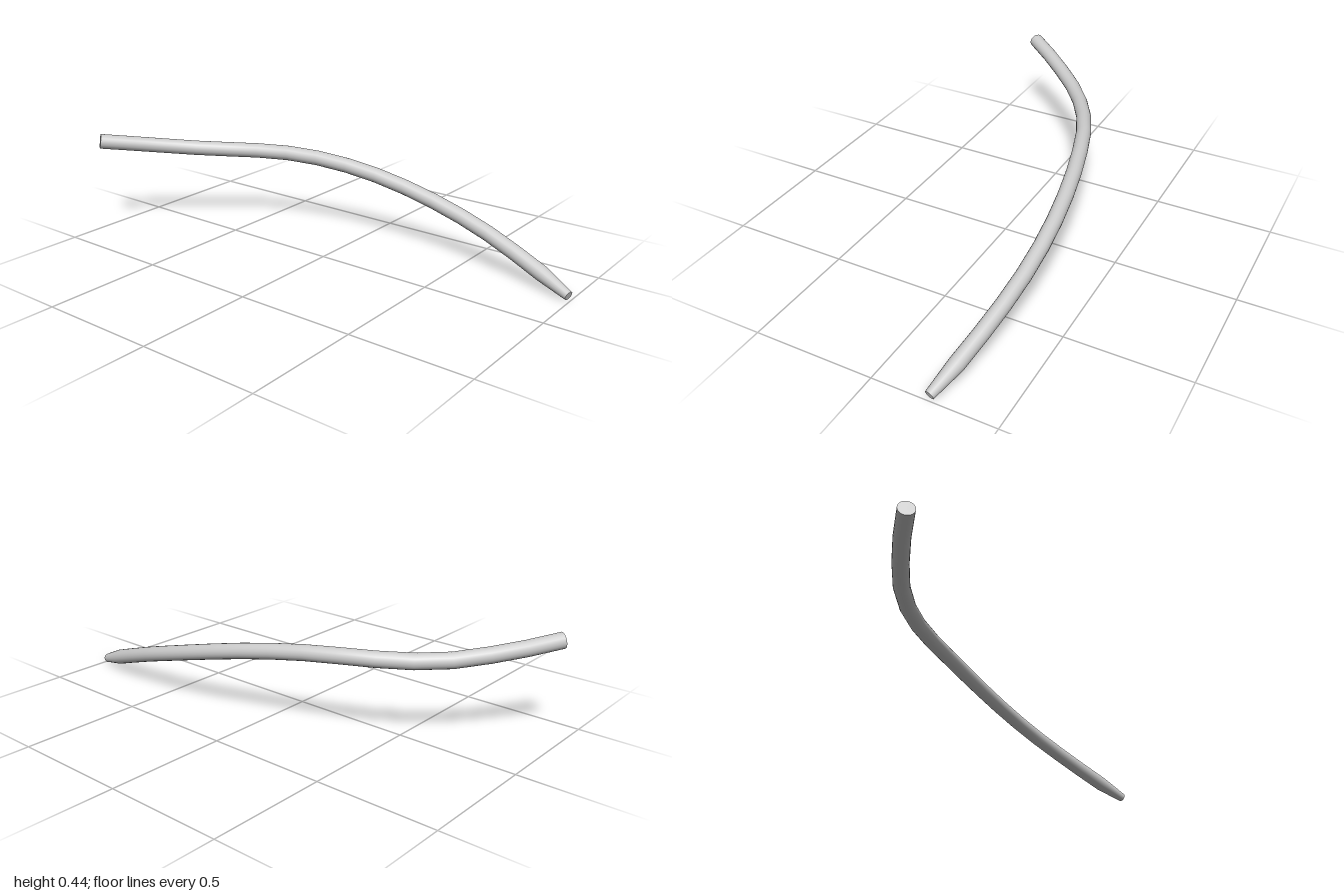
import * as THREE from 'three';

const SEGMENTS = 16, SIDES = 20, RADIUS = 0.032, TIP_RADIUS = 0.0195;

// Flat disc closing one ring of the tube
function capGeometry(tube, ring, centre, flip) {
  const pos = tube.attributes.position;
  const points = [centre.x, centre.y, centre.z];
  const index = [];
  for (let j = 0; j < SIDES; j++) {
    const i = ring * (SIDES + 1) + j;
    points.push(pos.getX(i), pos.getY(i), pos.getZ(i));
    const a = j + 1, b = (j + 1) % SIDES + 1;
    index.push(0, ...(flip ? [b, a] : [a, b]));
  }
  const g = new THREE.BufferGeometry();
  g.setAttribute('position', new THREE.Float32BufferAttribute(points, 3));
  g.setIndex(index);
  g.computeVertexNormals();
  return g;
}

export function createModel() {
  const group = new THREE.Group();
  group.name = 'curvedRod';
  const material = new THREE.MeshStandardMaterial({ color: 0xcccccc, side: THREE.DoubleSide });

  // Centre line, from the thick back end to the narrow front tip
  const path = new THREE.CatmullRomCurve3([
    [-0.339, 0.41, -0.973], [-0.19, 0.383, -0.86], [0, 0.353, -0.68],
    [0.105, 0.348, -0.53], [0.175, 0.348, -0.39], [0.238, 0.337, -0.2],
    [0.285, 0.308, 0], [0.313, 0.265, 0.2], [0.321, 0.213, 0.4],
    [0.308, 0.155, 0.6], [0.264, 0.067, 0.86], [0.232, 0.02, 0.991],
  ].map((p) => new THREE.Vector3(...p)));

  // Even tube whose last ring narrows to the tip
  const tube = new THREE.TubeGeometry(path, SEGMENTS, RADIUS, SIDES);
  const tip = path.getPointAt(1);
  const pos = tube.attributes.position;
  const v = new THREE.Vector3();
  for (let i = SEGMENTS * (SIDES + 1); i < pos.count; i++) {
    v.fromBufferAttribute(pos, i).sub(tip).multiplyScalar(TIP_RADIUS / RADIUS).add(tip);
    pos.setXYZ(i, v.x, v.y, v.z);
  }

  const add = (name, geometry) => {
    const mesh = new THREE.Mesh(geometry, material);
    mesh.name = name;
    group.add(mesh);
  };
  add('rod', tube);
  // TubeGeometry rings run clockwise seen along the path
  add('backCap', capGeometry(tube, 0, path.getPointAt(0), false));
  add('tipCap', capGeometry(tube, SEGMENTS, tip, true));
  return group;
}
